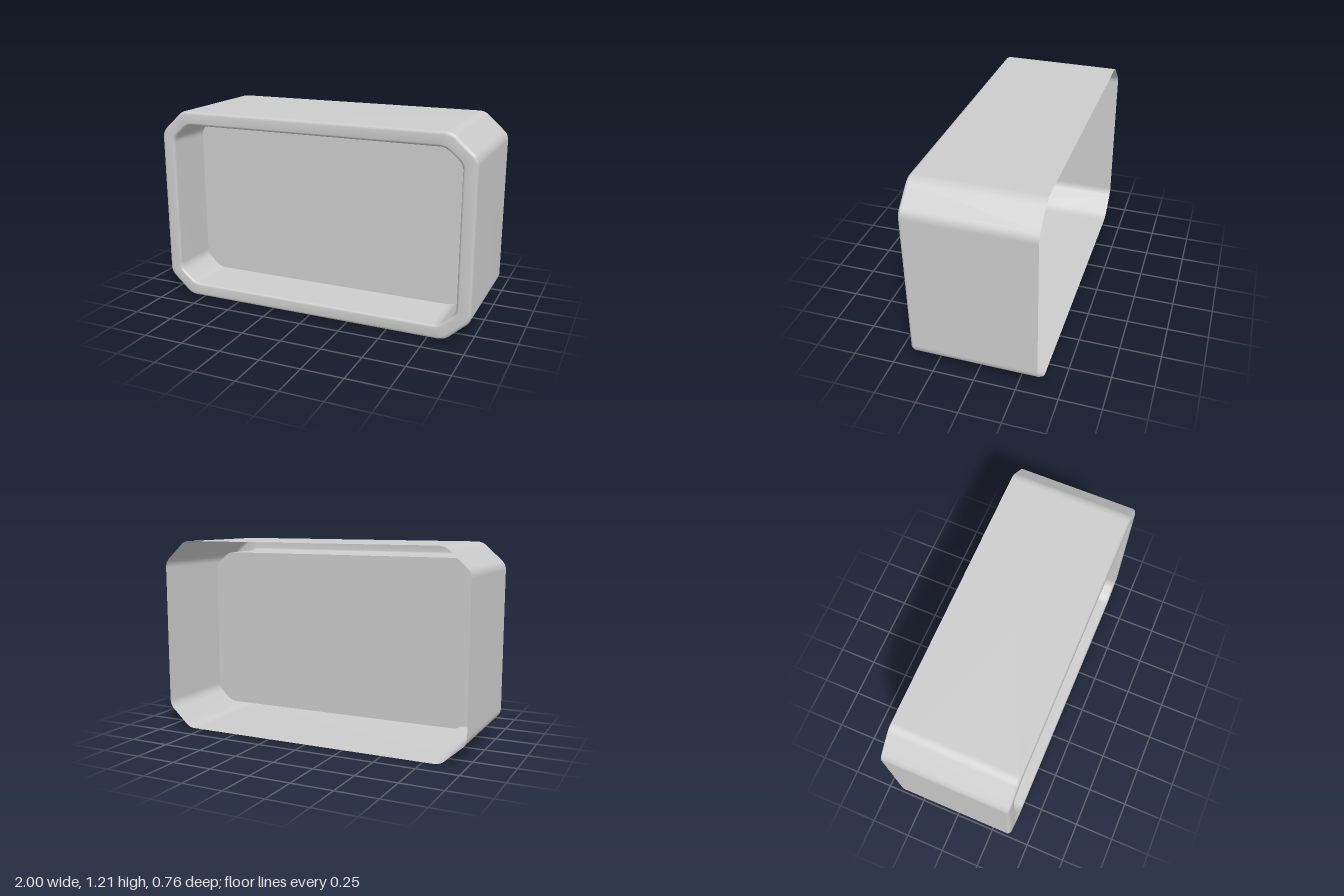
import * as THREE from 'three';

const HALF_W = 1, HALF_H = 0.603, HALF_D = 0.378, PANEL_Z = 0.06;

// Chamfered rectangle with softened corners, shrunk by an inset; counterclockwise from the front
function outline(inset) {
  const w = HALF_W - inset, h = HALF_H - inset;
  const cx = 0.85 - inset * 0.42, cy = 0.467 - inset * 0.42;
  const corners = [
    [w, -cy], [w, cy], [cx, h], [-cx, h],
    [-w, cy], [-w, -cy], [-cx, -h], [cx, -h],
  ].map(([x, y]) => new THREE.Vector2(x, y));
  const n = corners.length, round = 0.035, steps = 5;
  const points = [];
  corners.forEach((c, i) => {
    const prev = corners[(i + n - 1) % n], next = corners[(i + 1) % n];
    const a = c.clone().add(prev.clone().sub(c).setLength(round));
    const b = c.clone().add(next.clone().sub(c).setLength(round));
    points.push(...new THREE.QuadraticBezierCurve(a, c, b).getPoints(steps));
  });
  return points;
}

// Smooth skin through a list of [inset, z] rings
function loft(rings) {
  const positions = [], index = [];
  const n = outline(0).length;
  rings.forEach(([inset, z], r) => {
    outline(inset).forEach((p, j) => {
      positions.push(p.x, p.y + HALF_H, z);
      if (r === rings.length - 1) return;
      const a = r * n + j, b = r * n + (j + 1) % n;
      index.push(a, b, b + n, a, b + n, a + n);
    });
  });
  const geometry = new THREE.BufferGeometry();
  geometry.setAttribute('position', new THREE.Float32BufferAttribute(positions, 3));
  geometry.setIndex(index);
  geometry.computeVertexNormals();
  return geometry;
}

export function createModel() {
  const group = new THREE.Group();
  group.name = 'recessedFrame';
  const grey = new THREE.MeshStandardMaterial({ color: 0xcccccc, side: THREE.DoubleSide });
  grey.name = 'light grey';

  // Thin shell: outer wall, rounded front rim, then the wall of the front recess
  const front = HALF_D;
  const shell = new THREE.Mesh(loft([
    [0, -HALF_D],
    [0, front - 0.02],
    [0.006, front - 0.006],
    [0.02, front],
    [0.07, front],
    [0.08, front - 0.005],
    [0.086, front - 0.016],
    [0.088, PANEL_Z],
  ]), grey);
  shell.name = 'frameShell';

  // Flat panel closing the recess; the back stays open
  const panel = new THREE.Mesh(new THREE.ShapeGeometry(new THREE.Shape(outline(0.088))), grey);
  panel.name = 'recessPanel';
  panel.position.set(0, HALF_H, PANEL_Z);

  group.add(shell, panel);
  return group;
}
